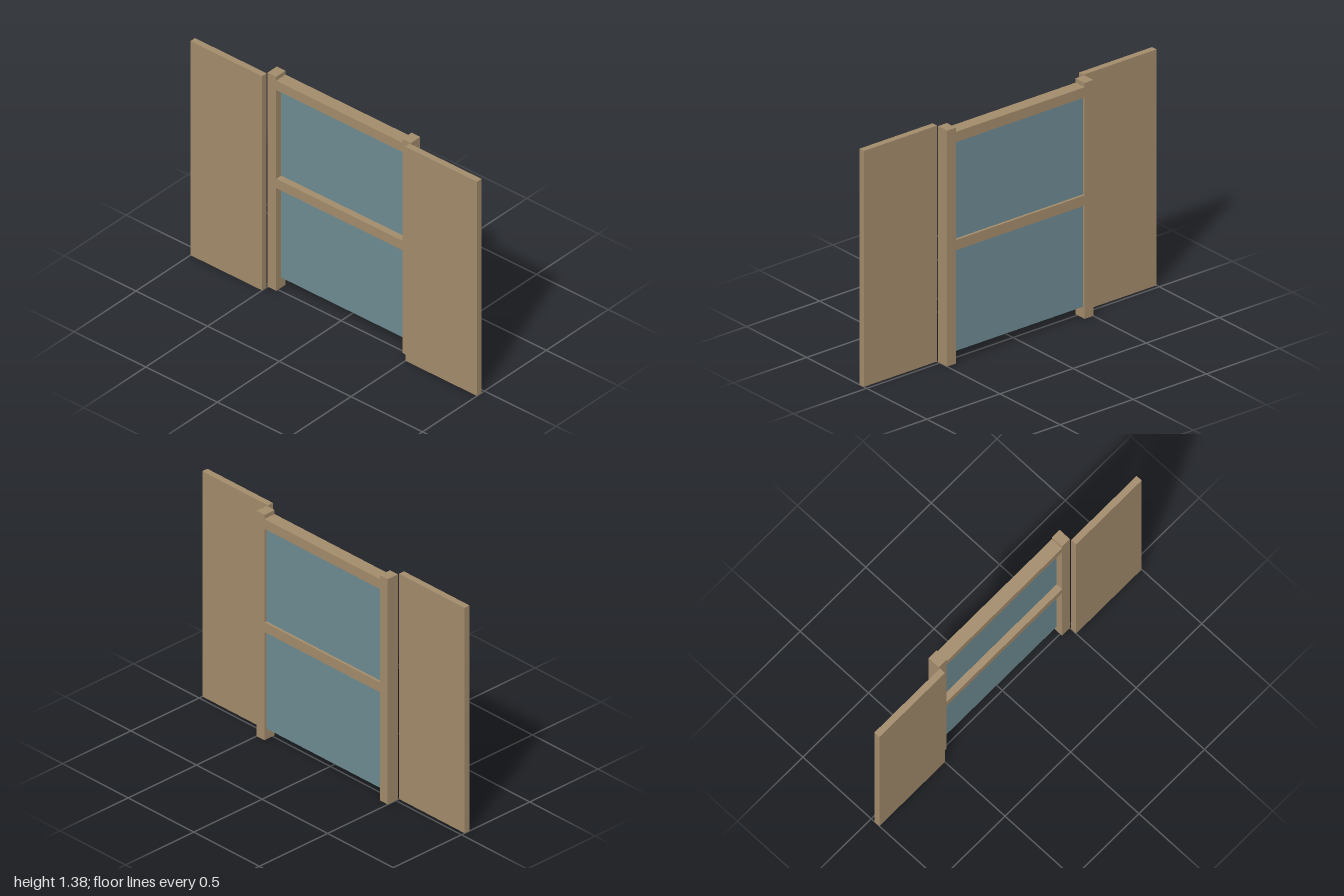
import * as THREE from 'three';

export function createModel() {
  const root = new THREE.Group();
  root.name = 'slidingScreen';
  const wood = new THREE.MeshStandardMaterial({ color: 0xa48c6c });
  wood.name = 'tan wood';
  const glass = new THREE.MeshStandardMaterial({ color: 0x6d8c93 });
  glass.name = 'blue glass';

  // Box given by its minimum and maximum on each axis
  function block(name, material, [x0, x1], [y0, y1], [z0, z1]) {
    const mesh = new THREE.Mesh(new THREE.BoxGeometry(x1 - x0, y1 - y0, z1 - z0), material);
    mesh.position.set((x0 + x1) / 2, (y0 + y1) / 2, (z0 + z1) / 2);
    mesh.name = name;
    root.add(mesh);
  }

  const height = 1.375;
  const frameZ = [-0.06, 0.015];
  const paneZ = [-0.045, -0.025];
  const opening = [-0.44, 0.44];

  // Outer panels in front, and the posts of the frame
  for (const [side, s] of [['left', 1], ['right', -1]]) {
    const span = (a, b) => (s > 0 ? [a, b] : [-b, -a]);
    block(side + 'Panel', wood, span(0.5, 1), [0, height], [0.023, 0.06]);
    block(side + 'Post', wood, span(0.44, 0.5), [0, height], frameZ);
  }

  // Cross rails
  block('topRail', wood, opening, [1.29, 1.35], frameZ);
  block('middleRail', wood, opening, [0.66, 0.72], frameZ);

  // Glass panes, set towards the back
  block('upperPane', glass, opening, [0.72, 1.29], paneZ);
  block('lowerPane', glass, opening, [0.065, 0.66], paneZ);

  return root;
}
